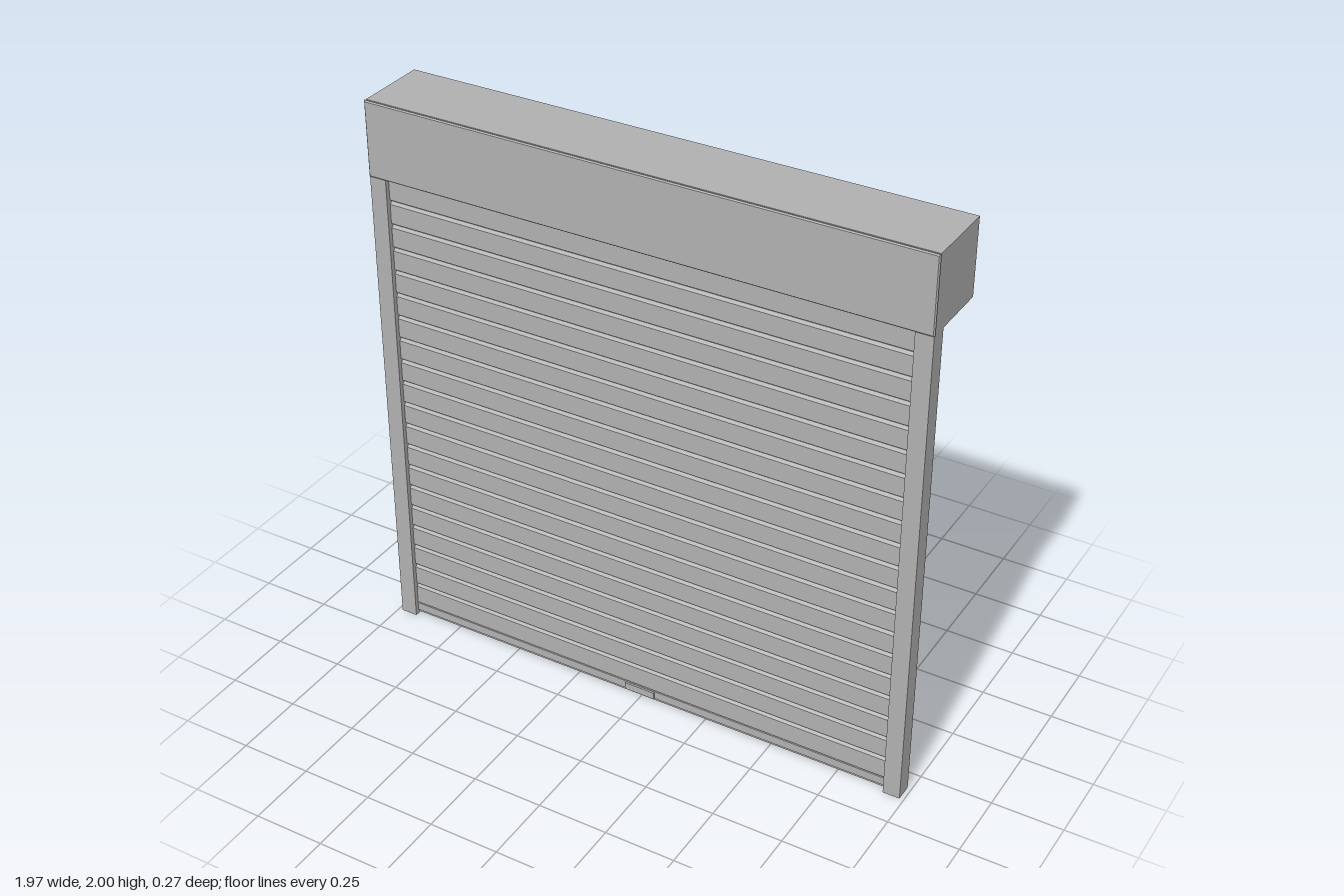
import * as THREE from 'three';

const metal = new THREE.MeshStandardMaterial({ color: 0xb0b0b0 });
metal.name = 'grey metal';

export function createModel() {
  const model = new THREE.Group();
  model.name = 'rollerShutter';

  const add = (name, geometry, x = 0, y = 0, z = 0) => {
    const mesh = new THREE.Mesh(geometry, metal);
    mesh.name = name;
    mesh.position.set(x, y, z);
    model.add(mesh);
    return mesh;
  };
  // box given by its limits
  const block = (name, x0, x1, y0, y1, z0, z1) =>
    add(name, new THREE.BoxGeometry(x1 - x0, y1 - y0, z1 - z0),
      (x0 + x1) / 2, (y0 + y1) / 2, (z0 + z1) / 2);
  // [z, y] outline, counter-clockwise seen from -x, swept along x
  const sweep = (name, points, halfWidth) => {
    const shape = new THREE.Shape(points.map(([z, y]) => new THREE.Vector2(-z, y)));
    const geometry = new THREE.ExtrudeGeometry(shape, { depth: halfWidth * 2, bevelEnabled: false });
    geometry.rotateY(Math.PI / 2);
    return add(name, geometry, -halfWidth);
  };

  // Housing for the rolled curtain, with a chamfered front cover
  block('housing', -0.985, 0.985, 1.735, 2, -0.135, 0.124);
  const bevel = 0.004, w = 0.987 - bevel, h = 0.1325 - bevel;
  const face = new THREE.Shape([
    new THREE.Vector2(-w, -h), new THREE.Vector2(w, -h),
    new THREE.Vector2(w, h), new THREE.Vector2(-w, h),
  ]);
  add('housingCover', new THREE.ExtrudeGeometry(face, {
    depth: 0.003, bevelSize: bevel, bevelThickness: bevel, bevelSegments: 1,
  }), 0, 1.8675, 0.128);

  // Guide rails
  for (const side of [-1, 1]) {
    const rail = block(side > 0 ? 'leftRail' : 'rightRail', 0.925, 0.985, 0, 1.735, 0.07, 0.132);
    rail.position.x *= side;
  }

  // Slatted curtain: flat back, chamfered slats with grooves between them
  const pitch = 0.0847, base = 0.045, top = 1.74;
  const back = 0.088, groove = 0.106, front = 0.116;
  const outline = [[groove, base]];
  for (let i = 0; i < 20; i++) {
    const y = base + i * pitch;
    outline.push([groove, y + 0.003], [front, y + 0.005], [front, y + pitch - 0.011], [groove, y + pitch - 0.003]);
  }
  outline.push([groove, top], [back, top], [back, base]);
  sweep('slatCurtain', outline, 0.926);

  // Bottom bar with its rubber-seal step and central pull
  block('bottomBar', -0.926, 0.926, 0.016, 0.046, 0.08, 0.117);
  block('bottomSeal', -0.926, 0.926, 0.006, 0.016, 0.084, 0.112);
  block('pullHandle', -0.056, 0.056, 0.018, 0.044, 0.115, 0.124);

  return model;
}
